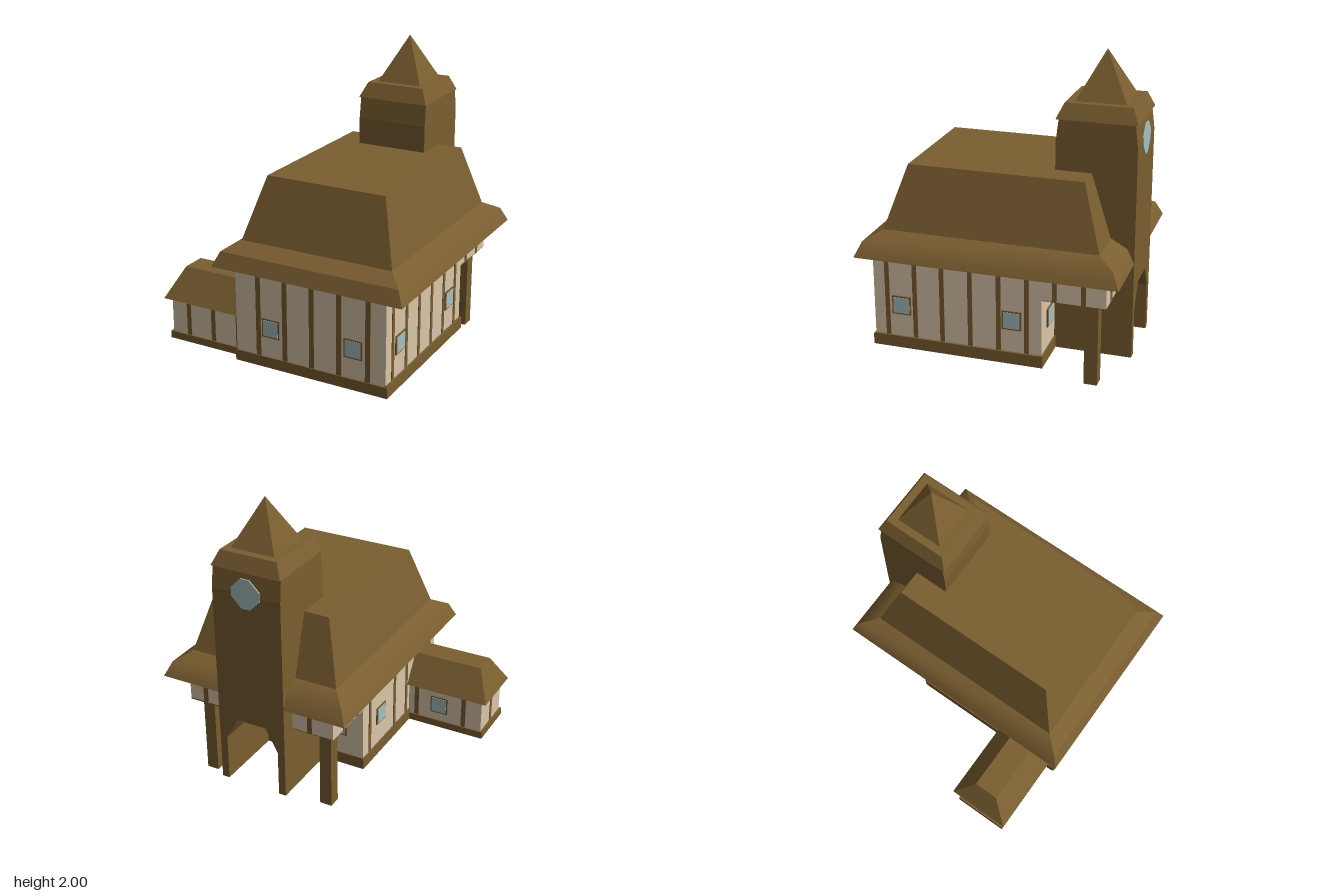
import * as THREE from 'three';
import { toCreasedNormals } from 'three/addons/utils/BufferGeometryUtils.js';

const timber = new THREE.MeshStandardMaterial({ color: 0x7a5e30, side: THREE.DoubleSide });
timber.name = 'brown timber';
const plaster = new THREE.MeshStandardMaterial({ color: 0xdac6a9, side: THREE.DoubleSide });
plaster.name = 'cream plaster';
const glass = new THREE.MeshStandardMaterial({ color: 0xa6bfc0, side: THREE.DoubleSide });
glass.name = 'pale blue glass';

function add(group, name, geometry, material) {
  const mesh = new THREE.Mesh(geometry, material);
  mesh.name = name;
  group.add(mesh);
  return mesh;
}

// Box given by its limits on each axis
function block(group, name, material, x0, x1, y0, y1, z0, z1) {
  const mesh = add(group, name, new THREE.BoxGeometry(x1 - x0, y1 - y0, z1 - z0), material);
  mesh.position.set((x0 + x1) / 2, (y0 + y1) / 2, (z0 + z1) / 2);
}

// Flat wall facing z
function wallZ(group, name, x0, x1, y0, y1, z, back = false) {
  const mesh = add(group, name, new THREE.PlaneGeometry(x1 - x0, y1 - y0), plaster);
  mesh.position.set((x0 + x1) / 2, (y0 + y1) / 2, z);
  if (back) mesh.rotation.y = Math.PI;
}

// Flat wall facing x
function wallX(group, name, z0, z1, y0, y1, x, side) {
  const mesh = add(group, name, new THREE.PlaneGeometry(z1 - z0, y1 - y0), plaster);
  mesh.position.set(x, (y0 + y1) / 2, (z0 + z1) / 2);
  mesh.rotation.y = side * Math.PI / 2;
}

// Closed loft through rectangles [y, x0, x1, z0, z1], listed from bottom to top
function loft(rings, crease = 0.01) {
  const loops = rings.map(([y, x0, x1, z0, z1]) => [[x0, y, z1], [x1, y, z1], [x1, y, z0], [x0, y, z0]]);
  const out = [];
  const quad = (a, b, c, d) => out.push(...a, ...b, ...c, ...a, ...c, ...d);
  for (let r = 0; r + 1 < loops.length; r++) {
    for (let i = 0; i < 4; i++) {
      const j = (i + 1) % 4;
      quad(loops[r][i], loops[r][j], loops[r + 1][j], loops[r + 1][i]);
    }
  }
  const [b, t] = [loops[0], loops[loops.length - 1]];
  quad(b[3], b[2], b[1], b[0]);
  quad(t[0], t[1], t[2], t[3]);
  const geometry = new THREE.BufferGeometry();
  geometry.setAttribute('position', new THREE.Float32BufferAttribute(out, 3));
  geometry.computeVertexNormals();
  return toCreasedNormals(geometry, crease);
}

// Square window with a frame, centred in the wall; along is the wall's direction
function windowPane(group, along, x, y, z) {
  for (const [name, half, depth, mat] of [['windowFrame', 0.062, 0.008, timber], ['windowGlass', 0.053, 0.011, glass]]) {
    const dx = along === 'x' ? half : depth;
    const dz = along === 'x' ? depth : half;
    block(group, name, mat, x - dx, x + dx, y - half, y + half, z - dz, z + dz);
  }
}

function buildHall() {
  const g = new THREE.Group();
  g.name = 'mainHall';
  const L = -0.3, R = 0.75, F = 0.77, B = -0.33, J = -0.73;

  // Walls, open underneath
  wallZ(g, 'frontWall', L, R, 0.1, 0.74, F);
  wallZ(g, 'backWall', L, R, 0.1, 0.74, B, true);
  wallZ(g, 'jettyBackWall', L, R, 0.55, 0.74, J, true);
  for (const [x, s] of [[L, -1], [R, 1]]) {
    wallX(g, 'sideWall', B, F, 0.1, 0.74, x, s);
    wallX(g, 'jettySideWall', J, B, 0.55, 0.74, x, s);
  }
  block(g, 'jettyFloor', timber, L, R, 0.548, 0.556, J, B);

  // Sill beams
  block(g, 'frontSill', timber, L - 0.005, R + 0.015, 0.1, 0.172, F - 0.01, F + 0.01);
  block(g, 'backSill', timber, L - 0.005, R + 0.015, 0.1, 0.18, B - 0.01, B + 0.01);
  block(g, 'leftSill', timber, R - 0.01, R + 0.015, 0.1, 0.178, B, F);
  block(g, 'rightSill', timber, L - 0.01, L + 0.01, 0.1, 0.178, B, F);

  // Upright timbers
  for (const x of [-0.135, 0.055, 0.245, 0.435, 0.63]) {
    block(g, 'frontStud', timber, x - 0.017, x + 0.017, 0.17, 0.74, F - 0.004, F + 0.004);
  }
  for (const x of [-0.135, 0.63]) {
    block(g, 'jettyStud', timber, x - 0.017, x + 0.017, 0.55, 0.74, J - 0.004, J + 0.004);
  }
  for (const x of [L, R]) {
    for (const z of [0.68, 0.495, 0.315, 0.13, -0.055, -0.235, -0.41, -0.59]) {
      if (x === L && z === -0.055) continue;
      block(g, 'sideStud', timber, x - 0.004, x + 0.004, z < B ? 0.55 : 0.17, 0.74, z - 0.015, z + 0.015);
    }
  }

  // Windows
  for (const x of [-0.045, 0.533]) windowPane(g, 'x', x, 0.37, F);
  for (const x of [-0.12, 0.575]) windowPane(g, 'x', x, 0.38, B);
  for (const z of [0.585, -0.14]) windowPane(g, 'z', R, 0.39, z);
  windowPane(g, 'z', L, 0.39, -0.08);

  // Porch posts
  for (const x of [-0.21, 0.655]) block(g, 'porchPost', timber, x - 0.041, x + 0.041, 0, 0.55, -0.67, -0.585);

  // Flared hip roof
  add(g, 'mainRoof', loft([
    [0.735, -0.43, 0.88, -0.83, 0.84],
    [0.83, -0.387, 0.837, -0.785, 0.797],
    [0.888, -0.295, 0.743, -0.68, 0.692],
    [1.29, -0.18, 0.63, -0.555, 0.562],
  ], 0.64), timber);
  return g;
}

function buildAnnex() {
  const g = new THREE.Group();
  g.name = 'annex';
  const E = -0.84, H = -0.3, F = 0.71, B = 0.37;
  wallZ(g, 'annexFrontWall', E, H, 0.1, 0.39, F);
  wallZ(g, 'annexBackWall', E, H, 0.1, 0.39, B, true);
  wallX(g, 'annexEndWall', B, F, 0.1, 0.39, E, -1);
  for (const z of [F, B]) {
    block(g, 'annexSill', timber, E - 0.015, H, 0.1, 0.15, z - 0.012, z + 0.012);
    for (const x of z === F ? [-0.71, -0.52, -0.33] : [-0.71, -0.36]) {
      block(g, 'annexStud', timber, x - 0.016, x + 0.016, 0.15, 0.39, z - 0.004, z + 0.004);
    }
  }
  block(g, 'annexEndSill', timber, E - 0.015, E + 0.01, 0.1, 0.15, B, F);
  block(g, 'annexEndStud', timber, E - 0.004, E + 0.004, 0.15, 0.39, 0.525, 0.555);
  windowPane(g, 'x', -0.53, 0.27, B);
  add(g, 'annexRoof', loft([
    [0.387, -0.88, H, 0.333, 0.747],
    [0.585, -0.785, H, 0.457, 0.62],
  ]), timber);
  return g;
}

function buildTower() {
  const g = new THREE.Group();
  g.name = 'tower';
  const L = -0.01, R = 0.465, F = -0.327, B = -0.83;

  // Shaft with an arched passage
  const outline = [[L, 0.1], [0.04, 0.1], [0.04, 0.41], [0.125, 0.565], [0.33, 0.565],
    [0.415, 0.41], [0.415, 0.1], [R, 0.1], [R, 1.464], [L, 1.464]];
  const shape = new THREE.Shape(outline.map(([x, y]) => new THREE.Vector2(x, y)));
  const shaft = add(g, 'towerShaft', new THREE.ExtrudeGeometry(shape, { depth: F - B, bevelEnabled: false }), timber);
  shaft.position.z = B;
  block(g, 'passageDoor', timber, 0.04, 0.415, 0.1, 0.565, -0.345, -0.337);

  // Slightly narrowed top
  add(g, 'towerTop', loft([
    [1.464, L, R, B, F],
    [1.61, L + 0.002, R - 0.002, B + 0.018, F - 0.018],
  ]), timber);

  // Skirt roof and spire
  add(g, 'towerSkirtRoof', loft([
    [1.607, -0.013, 0.467, -0.83, -0.325],
    [1.703, 0.031, 0.424, -0.788, -0.37],
  ]), timber);
  add(g, 'spire', loft([
    [1.7, 0.077, 0.38, -0.738, -0.42],
    [2, 0.2285, 0.2295, -0.5795, -0.5785],
  ]), timber);

  // Diamond window with clipped corners
  const w = 0.098, c = 0.03;
  const corners = [[w, -c], [w, c], [c, w], [-c, w], [-w, c], [-w, -c], [-c, -w], [c, -w]];
  const diamond = new THREE.Shape(corners.map(([x, y]) => new THREE.Vector2(x, y)));
  const pane = add(g, 'diamondWindow', new THREE.ExtrudeGeometry(diamond, { depth: 0.008, bevelEnabled: false }), glass);
  pane.position.set(0.228, 1.47, -0.836);
  return g;
}

export function createModel() {
  const model = new THREE.Group();
  model.name = 'timberFramedHall';
  model.add(buildHall(), buildAnnex(), buildTower());
  return model;
}
